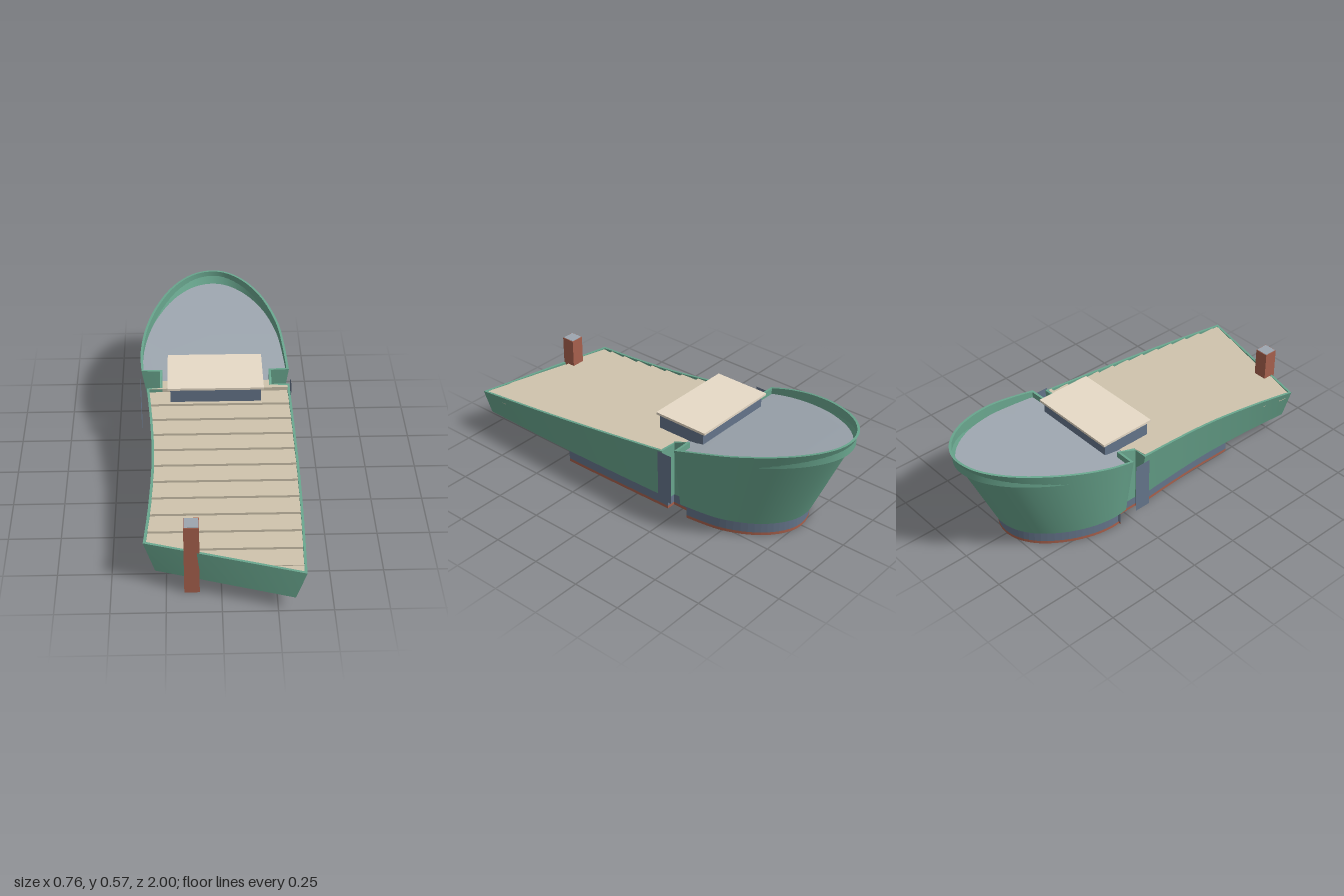
import * as THREE from 'three';
import { toCreasedNormals } from 'three/addons/utils/BufferGeometryUtils.js';

const mat = (name, color, side = THREE.FrontSide) => {
  const m = new THREE.MeshStandardMaterial({ color, side });
  m.name = name;
  return m;
};
const V = (x, z) => new THREE.Vector2(x, z);
const BASE = 0.08, WALL = 0.012;

// Height of the rim: a long slope, a short step at the notches, then the rising bow
function rimY(z) {
  if (z >= -0.215) return 0.225 + 0.12 * (1 - z);
  const s = (-0.285 - z) / 0.715;
  if (s >= 0) return 0.405 + 0.16 * s + 0.04 * s * (1 - s);
  return THREE.MathUtils.mapLinear(z, -0.215, -0.285, 0.371, 0.405);
}
const bowDeckY = z => 0.369 + Math.max(0, -0.25 - z) * 0.178;
const stepY = z => 0.222 + 0.12 * (1 - z);

// Moves a closed outline (x, z) inwards by d
function inset(pts, d) {
  const n = pts.length;
  return pts.map((p, i) => {
    const e1 = p.clone().sub(pts[(i + n - 1) % n]).normalize();
    const e2 = pts[(i + 1) % n].clone().sub(p).normalize();
    const m = V(-e1.y - e2.y, e1.x + e2.x);
    return p.clone().addScaledVector(m, d / Math.max(0.3, 1 + e1.dot(e2)));
  });
}

// The same, without the points that fold over at tight corners
function cleanInset(pts, d) {
  const near = new THREE.Vector3();
  const edges = pts.map((p, i) => {
    const q = pts[(i + 1) % pts.length];
    return new THREE.Line3(new THREE.Vector3(p.x, p.y, 0), new THREE.Vector3(q.x, q.y, 0));
  });
  return inset(pts, d).filter(p => {
    const c = new THREE.Vector3(p.x, p.y, 0);
    return edges.every(e => e.closestPointToPoint(c, true, near).distanceTo(c) > d * 0.97);
  });
}

// Plan of the rim, and the matching narrower plan of the bottom
function outlines() {
  const curve = (list, n) => new THREE.SplineCurve(list.map(p => V(...p))).getPoints(n);
  const left = curve([[-0.35, 0.813], [-0.328, 0.58], [-0.316, 0.3], [-0.326, 0.05], [-0.346, -0.195]], 14);
  const bow = curve([[-0.373, -0.29], [-0.379, -0.41], [-0.358, -0.56], [-0.305, -0.72], [-0.22, -0.87],
    [-0.12, -0.965], [-0.015, -1], [0.085, -0.98], [0.185, -0.9], [0.27, -0.77], [0.332, -0.6],
    [0.356, -0.45], [0.37, -0.29]], 44);
  const right = curve([[0.368, -0.215], [0.375, 0.1], [0.379, 0.4], [0.377, 0.7], [0.37, 1]], 12);
  const front = [1, 2, 3, 4, 5].map(i => right[12].clone().lerp(left[0], i / 6));
  const notchL = [V(-0.279, -0.195), V(-0.279, -0.287)];
  const notchR = [V(0.279, -0.287), V(0.279, -0.215)];
  const low = p => V(p.x * 0.867 + 0.004, p.y < -0.29 ? -0.29 + (p.y + 0.29) * 0.695 : p.y);
  const frontLow = front.map((p, i) => low(right[12]).lerp(low(left[0]), (i + 1) / 6));
  const top = [...left, ...notchL, ...bow, ...notchR, ...right, ...front];
  const bottom = [...left.map(low), ...notchL, ...bow.map(low), ...notchR, ...right.map(low), ...frontLow];
  return { top, bottom };
}

// Closed strip of quads between two rings of 3D points
function strip(a, b, out) {
  a.forEach((p, i) => {
    const j = (i + 1) % a.length;
    for (const q of [p, b[i], b[j], p, b[j], a[j]]) out.push(q.x, q.y, q.z);
  });
}

// Fills a ring, facing up (sign 1) or down (sign -1)
function cap(ring, sign, out) {
  for (const [i, j, k] of THREE.ShapeUtils.triangulateShape(ring.map(p => V(p.x, p.z)), [])) {
    const [a, b, c] = [ring[i], ring[j], ring[k]];
    const up = (b.z - a.z) * (c.x - a.x) - (b.x - a.x) * (c.z - a.z);
    for (const q of up * sign > 0 ? [a, b, c] : [a, c, b]) out.push(q.x, q.y, q.z);
  }
}

function surface(positions) {
  const g = new THREE.BufferGeometry();
  g.setAttribute('position', new THREE.Float32BufferAttribute(positions, 3));
  g.computeVertexNormals();
  return toCreasedNormals(g, 0.5);
}

// Vertical prism over a clockwise outline (x, z), with an optional hole
function prism(pts, y0, y1, hole) {
  const flip = list => list.map(p => V(p.x, -p.y));
  const shape = new THREE.Shape(flip(pts));
  if (hole) shape.holes.push(new THREE.Path(flip(hole).reverse()));
  const g = new THREE.ExtrudeGeometry(shape, { depth: y1 - y0, bevelEnabled: false });
  return g.rotateX(-Math.PI / 2).translate(0, y0, 0);
}

export function createModel() {
  const group = new THREE.Group();
  const green = mat('hullGreen', 0x69a68e, THREE.DoubleSide);
  const slate = mat('slateBlue', 0x65758b, THREE.DoubleSide);
  const planks = mat('deckTan', 0xcfc4ad);
  const roofMat = mat('roofCream', 0xe9dcc8);
  const grey = mat('bowDeckGrey', 0x9da6af);
  const brick = mat('brickRed', 0xa8614d);
  const add = (name, geo, material) => {
    const m = new THREE.Mesh(geo, material);
    m.name = name;
    group.add(m);
  };
  const box = (name, material, x0, x1, y0, y1, z0, z1) =>
    add(name, new THREE.BoxGeometry(x1 - x0, y1 - y0, z1 - z0)
      .translate((x0 + x1) / 2, (y0 + y1) / 2, (z0 + z1) / 2), material);

  // Hull: leaning outer wall, rim, upright inner wall and flat bottom
  const { top, bottom } = outlines();
  const topIn = inset(top, WALL);
  const ring = (plan, yOf) => plan.map((p, i) => new THREE.Vector3(p.x, yOf(top[i].y), p.y));
  const floorY = z => (z < -0.25 ? bowDeckY(z) - 0.004 : stepY(z) - 0.022);
  const low = ring(bottom, () => BASE), rim = ring(top, rimY), rimIn = ring(topIn, rimY);
  const hull = [];
  strip(low, rim, hull);
  strip(rim, rimIn, hull);
  strip(rimIn, ring(topIn, floorY), hull);
  cap(low, -1, hull);
  add('hull', surface(hull), green);

  // Sloping bow deck behind the notches
  const deckRing = ring(topIn, bowDeckY).filter(p => p.z < -0.25);
  const deck = [];
  cap([new THREE.Vector3(-0.268, 0.369, -0.25), ...deckRing, new THREE.Vector3(0.268, 0.369, -0.25)], 1, deck);
  add('bowDeck', surface(deck), grey);

  // Stepped deck, each step cut to the inside of the hull
  const inner = inset(top, 0.01);
  const span = z => {
    const xs = [];
    inner.forEach((p, i) => {
      const q = inner[(i + 1) % inner.length];
      if ((p.y > z) !== (q.y > z)) xs.push(p.x + (q.x - p.x) * (z - p.y) / (q.y - p.y));
    });
    return [Math.min(...xs), Math.max(...xs)];
  };
  for (let k = 0; k < 13; k++) {
    const z1 = Math.min(0.982, -0.185 + k * 0.103);
    const z0 = k ? -0.185 + (k - 1) * 0.103 : -0.25;
    const y = k ? stepY(z1) : 0.371;
    const l = [], r = [];
    for (let i = 0; i <= 8; i++) {
      const z = z0 + (z1 - z0) * i / 8, [a, b] = span(z);
      l.unshift(V(a, z));
      r.push(V(b, z));
    }
    add('deckStep', prism([...l, ...r], y - 0.025, y), planks);
  }

  // Hollow plinth under the hull with a red foot band
  const plan = cleanInset(bottom, 0.02).filter(p => p.y < 0.43);
  const foot = [V(plan[0].x, 0.45), ...plan, V(plan[plan.length - 1].x, 0.45)];
  const footIn = cleanInset(foot, 0.01);
  add('plinthBand', prism(foot, 0, 0.015, footIn), brick);
  add('plinth', prism(foot, 0.015, BASE, footIn), slate);

  // Thin upright panels standing just outside the side notches
  for (const x of [-0.378, 0.378]) {
    add('notchPanel', new THREE.PlaneGeometry(0.082, 0.265).rotateY(Math.PI / 2)
      .translate(x, 0.238, -0.238), slate);
  }

  // Low cabin with an overhanging flat roof
  box('cabin', slate, -0.227, 0.218, 0.37, 0.446, -0.338, -0.075);
  box('cabinRoof', roofMat, -0.24, 0.231, 0.446, 0.458, -0.355, -0.063);

  // Square post through the front edge
  box('post', brick, -0.169, -0.099, 0, 0.387, 0.805, 0.875);
  box('postCap', grey, -0.166, -0.102, 0.387, 0.389, 0.808, 0.872);
  return group;
}
